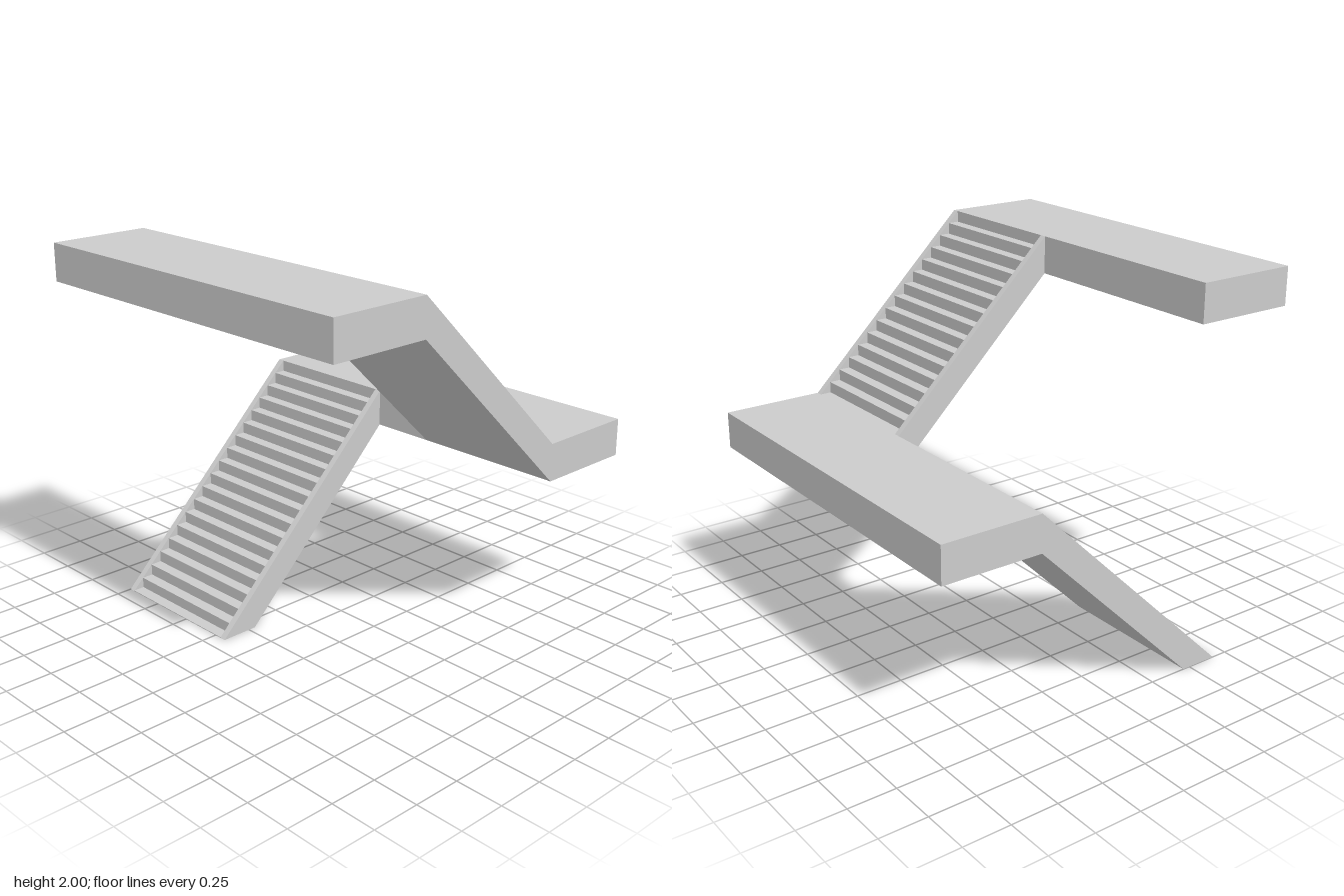
import * as THREE from 'three';

const material = new THREE.MeshStandardMaterial({ color: 0xcccccc, flatShading: true });
const EDGE = 0.46;      // inner edge of both landings
const STRINGER = 0.035; // stringer thickness
const INNER = 0.175, OUTER = 1;

// Extrude an (x, y) outline between two z positions
function prism(name, points, z0, z1) {
  const shape = new THREE.Shape(points.map(([x, y]) => new THREE.Vector2(x, y)));
  const geometry = new THREE.ExtrudeGeometry(shape, { depth: z1 - z0, bevelEnabled: false });
  geometry.translate(0, 0, z0);
  const mesh = new THREE.Mesh(geometry, material);
  mesh.name = name;
  return mesh;
}

function landing(name, x0, x1, y0, y1) {
  const mesh = new THREE.Mesh(new THREE.BoxGeometry(x1 - x0, y1 - y0, 2), material);
  mesh.position.set((x0 + x1) / 2, (y0 + y1) / 2, 0);
  mesh.name = name;
  return mesh;
}

// A flight descends from top to bottom; underside lists the lower outline from bottom back to top
function flight(name, top, bottom, count, stringerUnderside, stepUnderside, z0, z1) {
  const group = new THREE.Group();
  group.name = name;
  const run = (bottom[0] - top[0]) / count;
  const rise = (top[1] - bottom[1]) / count;
  const steps = [top];
  for (let i = 0; i < count; i++) {
    const y = top[1] - (i + 1) * rise;
    steps.push([top[0] + i * run, y], [top[0] + (i + 1) * run, y]);
  }
  // the lowest tread keeps a sliver of thickness where it meets the floor
  if (bottom[1] === 0) steps.slice(-2).forEach((p) => { p[1] = 0.004; });
  const side = [top, bottom, ...stringerUnderside];
  group.add(
    prism('steps', [...steps, ...stepUnderside], z0 + STRINGER, z1 - STRINGER),
    prism('backStringer', side, z0, z0 + STRINGER),
    prism('frontStringer', side, z1 - STRINGER, z1)
  );
  return group;
}

export function createModel() {
  const model = new THREE.Group();
  model.name = 'staircase';

  // Landings
  model.add(landing('upperLanding', -1, -EDGE, 1.805, 2));
  model.add(landing('middleLanding', EDGE, 1, 0.908, 1.103));

  // Upper flight, on the front side
  const upperSoffit = [[EDGE, 0.908], [-EDGE, 1.805]];
  model.add(flight('upperFlight', [-EDGE, 2], [EDGE, 1.103], 15,
    upperSoffit, upperSoffit, INNER, OUTER));

  // Lower flight, on the back side, with a recess under its foot
  const lowerSoffit = [[-EDGE, 0], [EDGE, 0.908]];
  const recess = [[-0.665, 0], [-0.56, 0], [-0.56, 0.04], [-0.49, 0.04], [-0.49, 0]];
  model.add(flight('lowerFlight', [EDGE, 1.103], [-0.665, 0], 18,
    lowerSoffit, [...recess, ...lowerSoffit], -OUTER, -INNER));

  return model;
}
